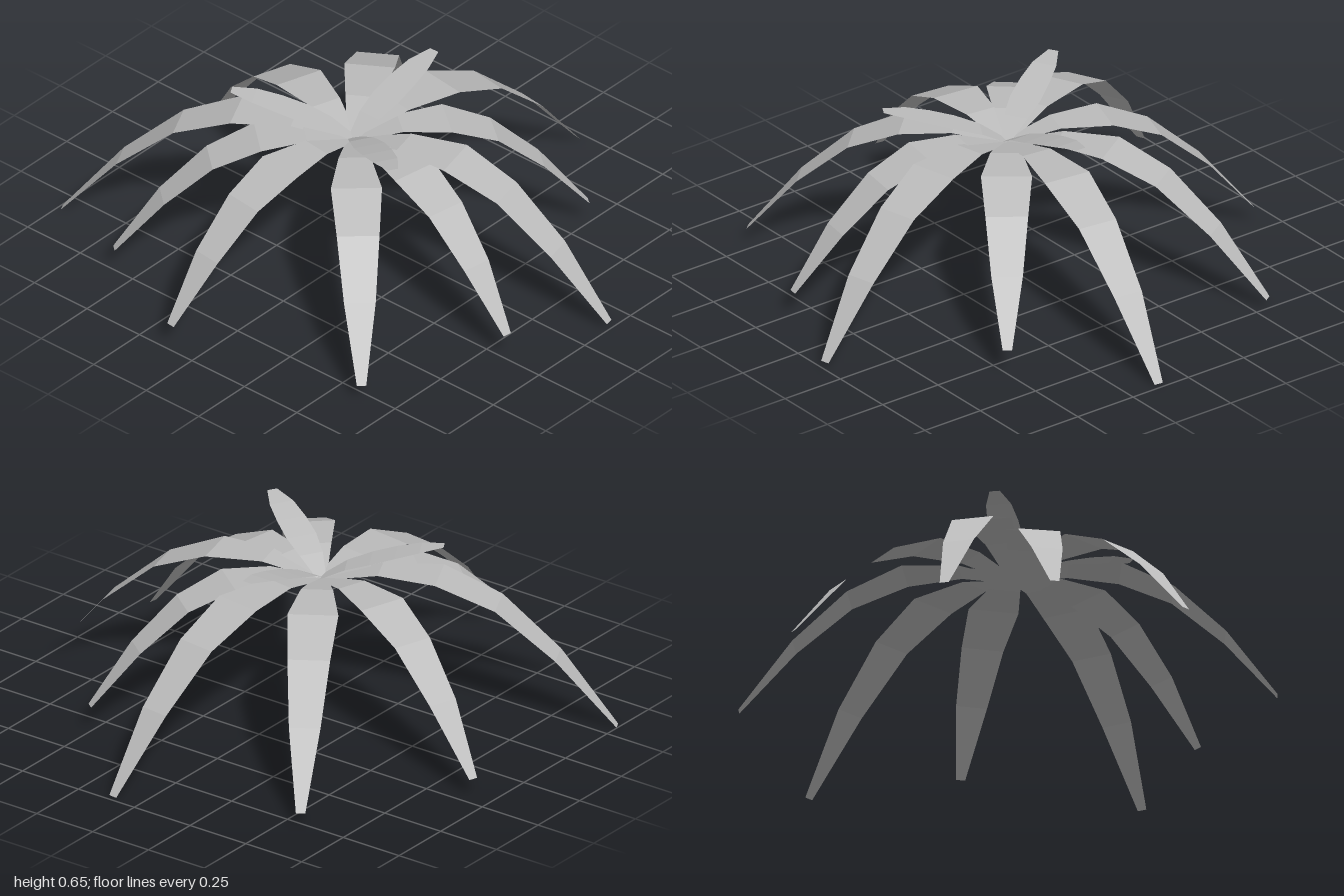
import * as THREE from 'three';

// Flat leaf blade along +x, built from cross-sections [distance, height, halfWidth]
function bladeGeometry(sections) {
  const positions = [];
  const index = [];
  sections.forEach(([x, y, w], i) => {
    positions.push(x, y, -w, x, y, w);
    if (i > 0) {
      const a = 2 * (i - 1);
      index.push(a, a + 1, a + 3, a, a + 3, a + 2);
    }
  });
  const geometry = new THREE.BufferGeometry();
  geometry.setAttribute('position', new THREE.Float32BufferAttribute(positions, 3));
  geometry.setIndex(index);
  const flat = geometry.toNonIndexed();
  flat.computeVertexNormals();
  return flat;
}

export function createModel() {
  const group = new THREE.Group();
  group.name = 'palmCrown';

  const leafGrey = new THREE.MeshStandardMaterial({
    color: 0xbbbbbb, flatShading: true, side: THREE.DoubleSide,
  });
  leafGrey.name = 'leafGrey';

  const hub = new THREE.Vector3(-0.1, 0.495, -0.017);

  function addBlade(name, sections, angle) {
    const mesh = new THREE.Mesh(bladeGeometry(sections), leafGrey);
    mesh.name = name;
    mesh.position.copy(hub);
    mesh.rotation.y = angle;
    group.add(mesh);
  }

  // Drooping fronds: one shared arc, scaled to reach each tip [x, z]
  const frondArc = [
    [0, 0, 0.02], [0.2, 0.05, 0.058], [0.4, 0.046, 0.092],
    [0.6, -0.038, 0.077], [0.8, -0.212, 0.057], [1, -0.455, 0.017],
  ];
  const frondTips = [
    [-0.575, -0.99], [0.19, -0.915], [0.745, -0.555], [0.975, 0.115], [0.59, 0.505],
    [0.145, 0.99], [-0.24, 0.84], [-0.79, 0.625], [-0.98, -0.12], [-0.755, -0.585],
  ];
  frondTips.forEach(([x, z], i) => {
    const dx = x - hub.x;
    const dz = z - hub.z;
    const reach = Math.hypot(dx, dz);
    const sections = frondArc.map(([t, y, w]) => [t * reach, y * reach, w]);
    addBlade(`frond${i + 1}`, sections, Math.atan2(-dz, dx));
  });

  // Three short young leaves rising from the middle
  const youngLeaf = [
    [0, 0.005, 0.02], [0.09, 0.056, 0.045], [0.18, 0.088, 0.058],
    [0.27, 0.116, 0.056], [0.36, 0.14, 0.046], [0.445, 0.155, 0.019],
  ];
  for (let i = 0; i < 3; i++) {
    addBlade(`youngLeaf${i + 1}`, youngLeaf, (i * Math.PI * 2) / 3);
  }

  return group;
}
